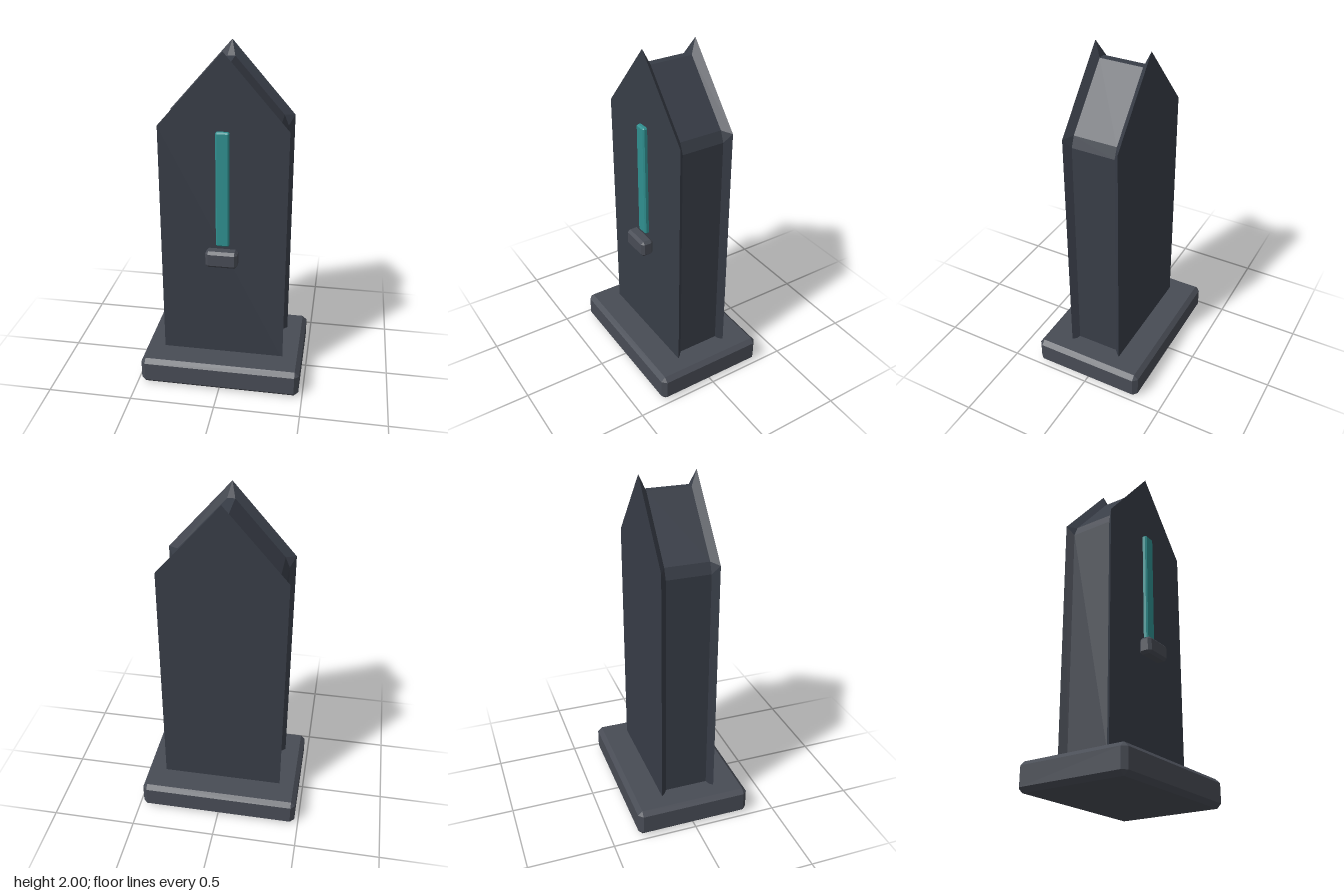
import * as THREE from 'three';
import { ConvexGeometry } from 'three/addons/geometries/ConvexGeometry.js';

const bodyMat = new THREE.MeshStandardMaterial({ color: 0x383d47, flatShading: true });
const trimMat = new THREE.MeshStandardMaterial({ color: 0x484c55, flatShading: true });
const tealMat = new THREE.MeshStandardMaterial({ color: 0x2f8f8f, flatShading: true });

// Box with every edge chamfered by c, including cut corners
function chamferBox(name, [w, h, d], c, [x, y, z], material) {
  const points = [];
  for (const sx of [-1, 1]) for (const sy of [-1, 1]) for (const sz of [-1, 1]) {
    for (let axis = 0; axis < 3; axis++) {
      const p = [w / 2, h / 2, d / 2].map((v, i) => (i === axis ? v : v - c));
      points.push(new THREE.Vector3(sx * p[0], sy * p[1], sz * p[2]));
    }
  }
  const mesh = new THREE.Mesh(new ConvexGeometry(points), material);
  mesh.name = name;
  mesh.position.set(x, y, z);
  return mesh;
}

// Full counter-clockwise outline from its right half, listed bottom to top
const mirrored = (half) => [...half, ...half.map(([x, y]) => [-x, y]).reverse()];

// Pointed slab: sharp outer faces sloping in to a narrower core
function slabGeometry() {
  const outer = mirrored([[0.363, 0.145], [0.363, 1.585], [0.363, 1.585], [0, 2], [0, 2]].slice(0, 4));
  const inner = mirrored([[0.33, 0.178], [0.33, 1.53], [0.305, 1.592], [0.022, 1.915]]);
  const rings = [[outer, 0.163], [inner, 0.127], [inner, -0.127], [outer, -0.163]]
    .map(([loop, z]) => loop.map(([x, y]) => new THREE.Vector3(x, y, z)));
  const verts = [];
  const tri = (a, b, c) => {
    if (new THREE.Triangle(a, b, c).getArea() > 1e-7) {
      for (const p of [a, b, c]) verts.push(p.x, p.y, p.z);
    }
  };
  const n = outer.length;
  for (let k = 0; k < 3; k++) {
    for (let i = 0; i < n; i++) {
      const j = (i + 1) % n;
      tri(rings[k][i], rings[k + 1][i], rings[k][j]);
      tri(rings[k][j], rings[k + 1][i], rings[k + 1][j]);
    }
  }
  // Front and back faces
  for (let i = 1; i < n - 1; i++) {
    tri(rings[0][0], rings[0][i], rings[0][i + 1]);
    tri(rings[3][0], rings[3][i + 1], rings[3][i]);
  }
  const geometry = new THREE.BufferGeometry();
  geometry.setAttribute('position', new THREE.Float32BufferAttribute(verts, 3));
  geometry.computeVertexNormals();
  return geometry;
}

export function createModel() {
  const group = new THREE.Group();
  group.name = 'pointedMonolith';

  // Plinth
  group.add(chamferBox('base', [0.954, 0.165, 0.68], 0.026, [0, 0.0825, 0], trimMat));

  // Upright slab
  const slab = new THREE.Mesh(slabGeometry(), bodyMat);
  slab.name = 'slab';
  group.add(slab);

  // Inlaid strip and the small ledge below it
  group.add(chamferBox('glowStrip', [0.076, 0.68, 0.034], 0.008, [0, 1.23, 0.171], tealMat));
  group.add(chamferBox('ledge', [0.184, 0.1, 0.077], 0.016, [0, 0.825, 0.2015], trimMat));

  return group;
}
